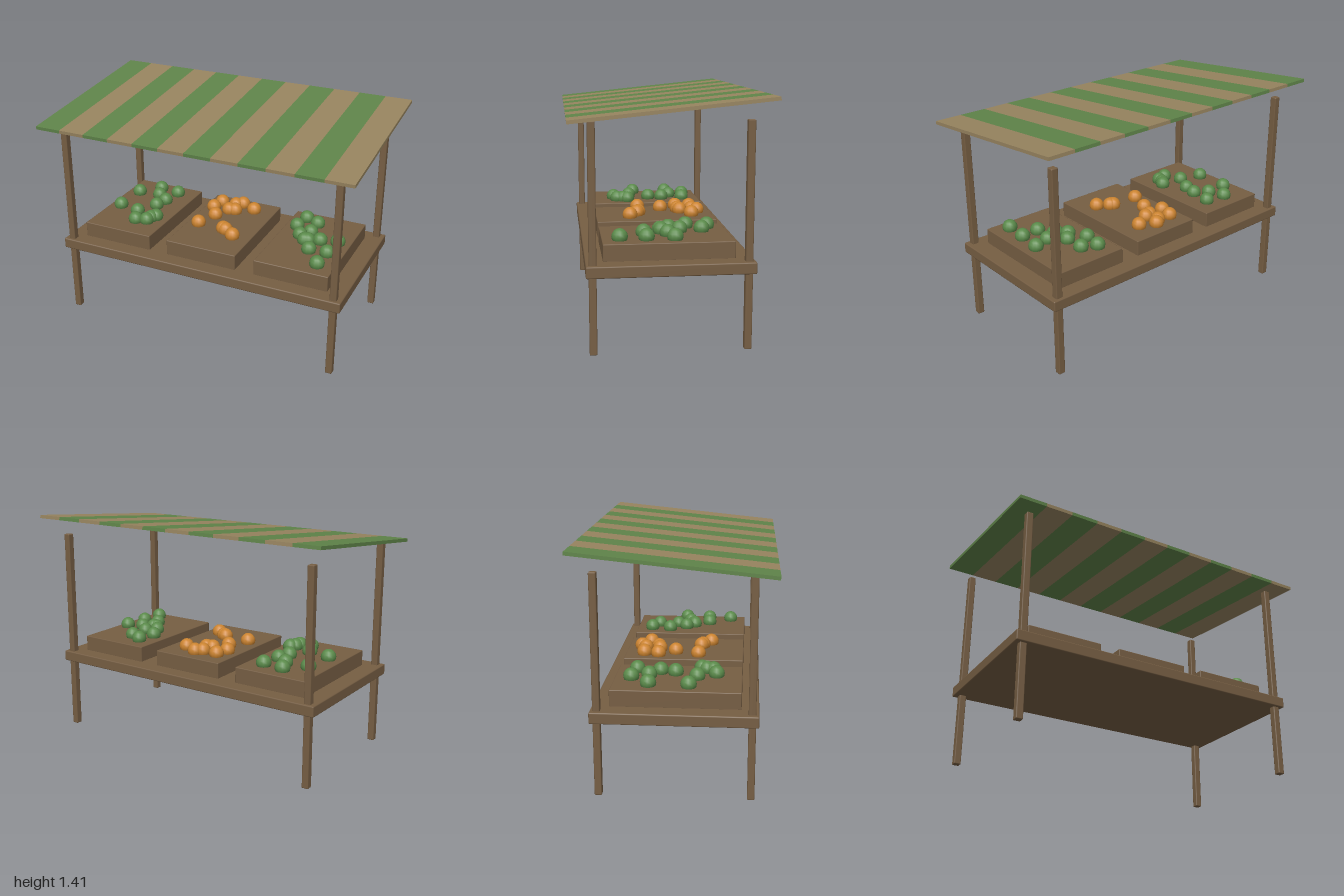
import * as THREE from 'three';
import { RoundedBoxGeometry } from 'three/addons/geometries/RoundedBoxGeometry.js';

const paint = (color) => new THREE.MeshStandardMaterial({ color });

export function createModel() {
  const stall = new THREE.Group();
  stall.name = 'marketStall';
  const wood = paint(0x765e43);
  const greenCloth = paint(0x5f8449);
  const tanCloth = paint(0x97845f);
  const greenFruit = paint(0x5a8a4a);
  const orangeFruit = paint(0xcc8430);

  const add = (parent, name, geometry, material, x, y, z) => {
    const mesh = new THREE.Mesh(geometry, material);
    mesh.name = name;
    mesh.position.set(x, y, z);
    parent.add(mesh);
    return mesh;
  };

  // Four posts, all the same height
  const postGeo = new RoundedBoxGeometry(0.042, 1.285, 0.042, 1, 0.006);
  for (const [side, sx] of [['left', 1], ['right', -1]])
    for (const [end, sz] of [['Front', 1], ['Back', -1]])
      add(stall, `${side}${end}Post`, postGeo, wood, sx * 0.885, 0.6425, sz * 0.43);

  // Counter
  add(stall, 'counter', new RoundedBoxGeometry(1.87, 0.066, 0.936, 1, 0.007), wood, 0, 0.474, 0);

  // Sloping awning made of alternating strips, low at the front
  const awning = new THREE.Group();
  awning.name = 'awning';
  awning.position.y = 1.345;
  awning.rotation.x = 0.101;
  stall.add(awning);
  const strips = 12;
  const stripGeo = new THREE.BoxGeometry(2 / strips, 0.02, 1.123);
  for (let i = 0; i < strips; i++)
    add(awning, `awningStrip${i + 1}`, stripGeo, i % 2 ? tanCloth : greenCloth, -1 + (i + 0.5) * 2 / strips, 0, 0);

  // Crates, each with fruit scattered on top as [x, z]
  const crates = [
    { name: 'rightCrate', x: -0.59, fruit: greenFruit, spots: [
      [-0.74, 0.07], [-0.73, -0.16], [-0.62, -0.27], [-0.48, -0.25], [-0.58, -0.17], [-0.5, -0.11],
      [-0.52, -0.02], [-0.59, 0.11], [-0.54, 0.22], [-0.47, 0.2], [-0.44, 0.13], [-0.46, 0.16]] },
    { name: 'middleCrate', x: 0, fruit: orangeFruit, spots: [
      [-0.15, 0.09], [-0.1, -0.055], [-0.16, -0.16], [-0.14, -0.25], [-0.05, -0.16], [-0.04, -0.25],
      [0, -0.28], [0.1, -0.23], [-0.01, -0.17], [0.03, 0.1], [0.05, 0.11], [0.12, 0.16]] },
    { name: 'leftCrate', x: 0.59, fruit: greenFruit, spots: [
      [0.72, 0.27], [0.73, 0.12], [0.615, 0.125], [0.745, -0.04], [0.64, -0.01], [0.5, -0.03],
      [0.55, 0.025], [0.55, -0.09], [0.44, -0.14], [0.55, -0.22], [0.46, -0.265], [0.57, 0.02]] },
  ];
  const crateGeo = new RoundedBoxGeometry(0.468, 0.1, 0.74, 1, 0.005);
  const fruitGeo = new THREE.SphereGeometry(0.047, 12, 8);
  for (const { name, x, fruit, spots } of crates) {
    const crate = new THREE.Group();
    crate.name = name;
    stall.add(crate);
    add(crate, 'crateBox', crateGeo, wood, x, 0.553, 0);
    spots.forEach(([fx, fz], i) => add(crate, `fruit${i + 1}`, fruitGeo, fruit, fx, 0.623, fz));
  }
  return stall;
}
